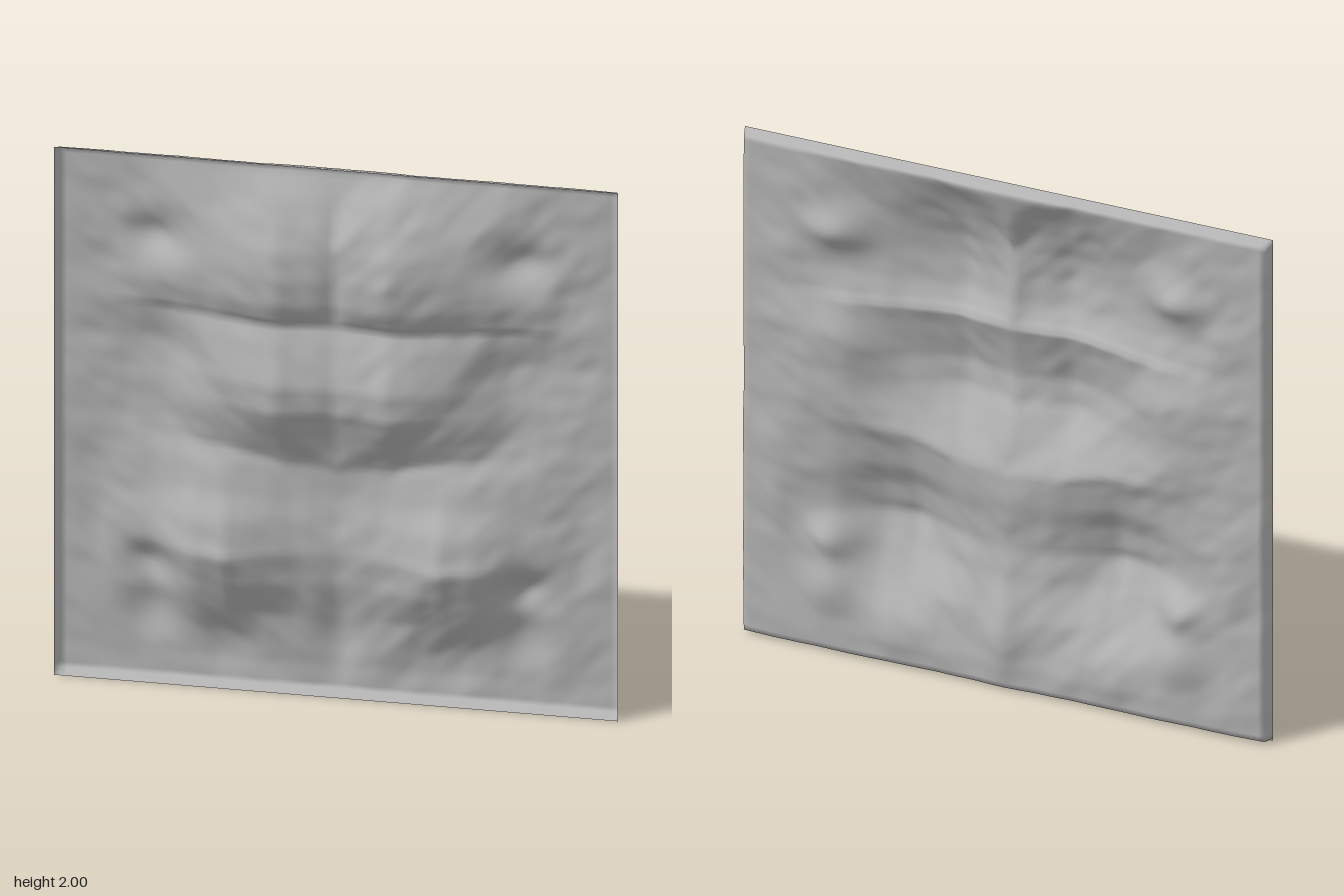
import * as THREE from 'three';

// Piecewise-linear profile through [position, value] points
function profile(pts, t) {
  if (t <= pts[0][0]) return pts[0][1];
  for (let i = 1; i < pts.length; i++) {
    const [a, va] = pts[i - 1], [b, vb] = pts[i];
    if (t <= b) return va + (vb - va) * (t - a) / (b - a);
  }
  return pts[pts.length - 1][1];
}

// Seeded hash and faceted value noise for the rough cast surface
const hash = (i, j) => {
  const s = Math.sin(i * 127.1 + j * 311.7 + 4.2) * 43758.5453;
  return (s - Math.floor(s)) * 2 - 1;
};
function noise(x, y) {
  const i = Math.floor(x), j = Math.floor(y), u = x - i, v = y - j;
  const a = hash(i, j), d = hash(i + 1, j + 1);
  return u > v
    ? a + (hash(i + 1, j) - a) * u + (d - hash(i + 1, j)) * v
    : a + (hash(i, j + 1) - a) * v + (d - hash(i, j + 1)) * u;
}

// Raised lobes: height along y, and fall-off across x (mirrored)
const LOBES = [
  { // upper pair, ending in a sharp lower lip
    y: [[1.39, 0], [1.42, 0.10], [1.5, 0.14], [1.6, 0.152], [1.7, 0.135], [1.8, 0.095], [1.9, 0.04], [1.97, 0]],
    x: [[0, 0.62], [0.06, 0.8], [0.2, 1], [0.33, 0.75], [0.45, 0.5], [0.6, 0.25], [0.8, 0]],
    lip: 0.06,
  },
  { // middle pair
    y: [[0.82, 0], [0.92, 0.05], [1.02, 0.11], [1.1, 0.152], [1.2, 0.16], [1.35, 0.11], [1.45, 0.07], [1.55, 0]],
    x: [[0, 0.7], [0.06, 0.82], [0.2, 1], [0.3, 0.8], [0.45, 0.45], [0.6, 0.15], [0.75, 0]],
    lip: 0,
  },
  { // lower pair, set wider apart
    y: [[0.1, 0], [0.3, 0.07], [0.4, 0.115], [0.54, 0.168], [0.67, 0.13], [0.75, 0.085], [0.86, 0.05], [0.98, 0]],
    x: [[0, 0.2], [0.15, 0.4], [0.27, 0.72], [0.38, 1], [0.5, 0.85], [0.65, 0.3], [0.85, 0]],
    lip: 0,
  },
];

// Hollows: x, y, radius x, radius y, depth
const HOLLOWS = [
  [0.65, 0.27, 0.1, 0.13, 0.045], [0.66, 0.45, 0.09, 0.07, 0.05],
  [0.65, 1.68, 0.1, 0.07, 0.05], [0.62, 1.2, 0.14, 0.2, 0.04],
  [0.42, 0.2, 0.12, 0.09, 0.03], [0, 0.25, 0.07, 0.17, 0.035],
  [0.85, 0.8, 0.1, 0.15, 0.015],
];

function reliefHeight(x, y) {
  const ax = Math.abs(x);
  let rise = 0;
  for (const l of LOBES) {
    const yy = y - l.lip * Math.max(0, ax - 0.2) * 0.6;
    rise = Math.max(rise, profile(l.y, yy) * profile(l.x, ax));
  }
  let z = -0.056 + rise;
  for (const [cx, cy, rx, ry, d] of HOLLOWS) {
    z -= d * Math.exp(-(((ax - cx) / rx) ** 2) - ((y - cy) / ry) ** 2);
  }
  const edge = Math.min(1 - ax, y, 2 - y);
  const rough = 0.35 + 0.65 * Math.min(1, edge / 0.1);
  z += rough * (0.010 * noise(ax * 7, y * 7) + 0.004 * noise(ax * 17 + 9, y * 17));
  return Math.max(-0.11, Math.min(0.112, z));
}

// Grid positions from -1 to 1 with a narrow first and last step for the rim
function gridLine(n) {
  const list = [-1];
  for (let i = 0; i <= n; i++) list.push(-0.986 + 1.972 * i / n);
  list.push(1);
  return list;
}

function reliefGeometry() {
  const xs = gridLine(84), ys = gridLine(100), w = xs.length, h = ys.length;
  const pos = [], index = [];
  for (let j = 0; j < h; j++) {
    for (let i = 0; i < w; i++) {
      const rim = i === 0 || j === 0 || i === w - 1 || j === h - 1;
      pos.push(xs[i], ys[j] + 1, rim ? -0.01 : reliefHeight(xs[i], ys[j] + 1));
    }
  }
  for (let j = 0; j < h - 1; j++) {
    for (let i = 0; i < w - 1; i++) {
      const a = j * w + i, b = a + 1, c = a + w, d = c + 1;
      // mirrored diagonals keep both halves alike
      if (i < w / 2 - 1) index.push(a, b, c, b, d, c);
      else index.push(a, b, d, a, d, c);
    }
  }
  const g = new THREE.BufferGeometry();
  g.setAttribute('position', new THREE.Float32BufferAttribute(pos, 3));
  g.setIndex(index);
  g.computeVertexNormals();
  return g;
}

export function createModel() {
  const group = new THREE.Group();
  group.name = 'reliefPanel';
  const stone = new THREE.MeshStandardMaterial({ color: 0xb4b4b4, side: THREE.DoubleSide });
  stone.name = 'stone grey';

  // Thin embossed sheet with a turned-up rim
  const sheet = new THREE.Mesh(reliefGeometry(), stone);
  sheet.name = 'embossedSheet';
  group.add(sheet);
  return group;
}
